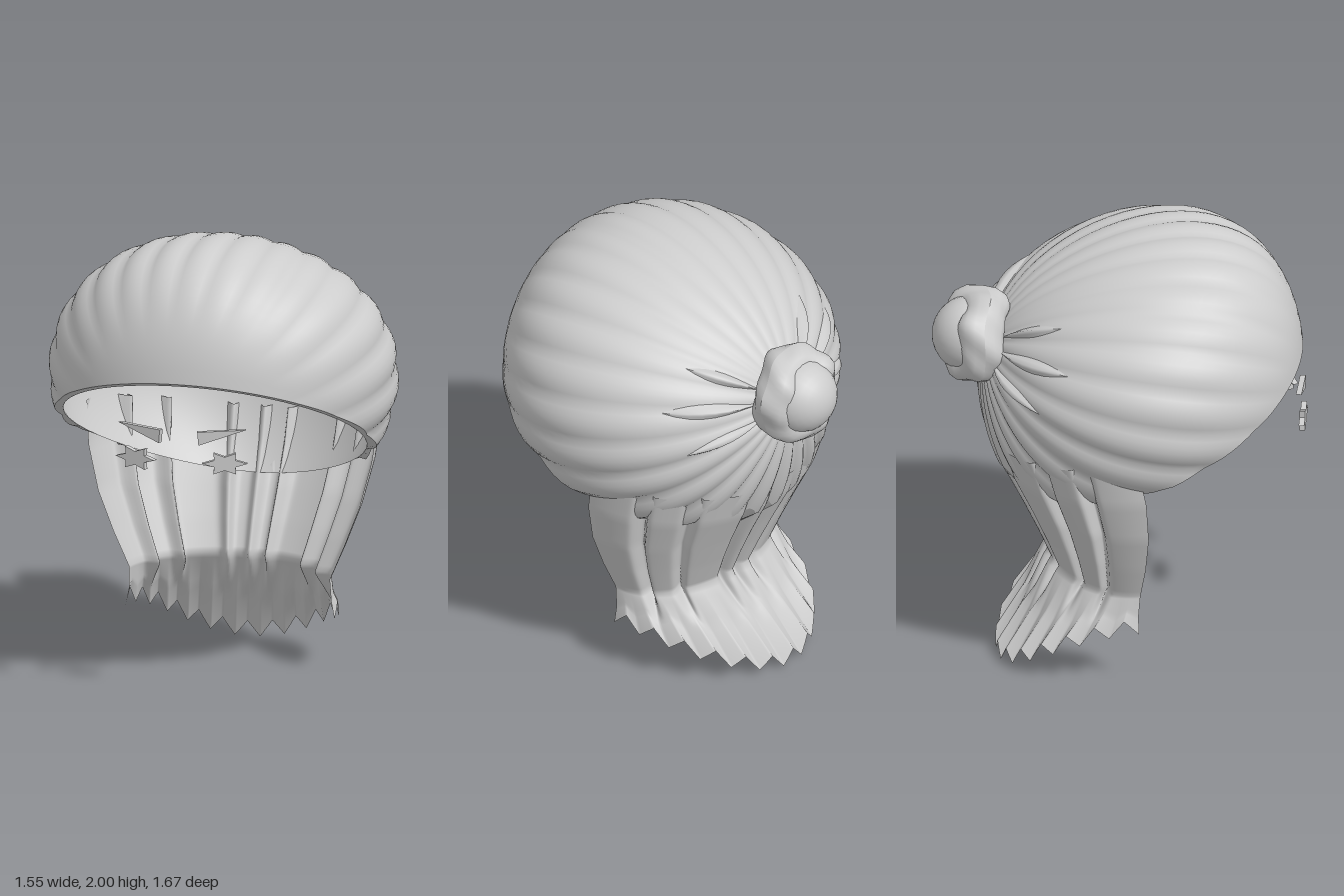
import * as THREE from 'three';

const hairGrey = new THREE.MeshStandardMaterial({ color: 0xcccccc, side: THREE.DoubleSide });
hairGrey.name = 'hairGrey';

const { sin, cos, abs, max, min, PI } = Math;

// Surface from a rule fn(u, v) -> Vector3, u and v in 0..1; closed joins u ends
function grid(nu, nv, fn, closed = false) {
  const pos = [], idx = [], cols = closed ? nu : nu + 1;
  for (let j = 0; j <= nv; j++)
    for (let i = 0; i < cols; i++) pos.push(...fn(i / nu, j / nv).toArray());
  for (let j = 0; j < nv; j++)
    for (let i = 0; i < nu; i++) {
      const k = (i + 1) % cols, a = j * cols + i, b = j * cols + k, c = a + cols, d = b + cols;
      idx.push(a, b, c, b, d, c);
    }
  const g = new THREE.BufferGeometry();
  g.setAttribute('position', new THREE.Float32BufferAttribute(pos, 3));
  g.setIndex(idx);
  g.computeVertexNormals();
  return g;
}

function part(name, geometry, parent) {
  const m = new THREE.Mesh(geometry, hairGrey);
  m.name = name;
  parent.add(m);
  return m;
}

// Linear lookup in a short list of [key, value...] rows
function lookup(rows, t) {
  const f = t * (rows.length - 1), i = min(Math.floor(f), rows.length - 2), k = f - i;
  return rows[i].map((a, n) => a + (rows[i + 1][n] - a) * k);
}

// Zigzag wave for ragged ends, 0..1
const zig = (t) => abs(((t % 1) + 1) % 1 - 0.5) * 2;

// Cap of hair: an egg shape combed from the bun (theta 0) towards the face
const AXIS = new THREE.Vector3(0, 0.2, -0.98).normalize();
const UP = new THREE.Vector3(0, 0.98, 0.2).normalize();
function capPoint(phi, theta, s, ridge) {
  const d = AXIS.clone().multiplyScalar(cos(theta))
    .addScaledVector(UP, sin(theta) * cos(phi));
  d.x = sin(theta) * sin(phi);
  const ry = d.y > 0 ? 0.635 : 0.9;
  const fade = sin(min(theta, PI / 2)) * (theta > 1.7 ? max(0, 1 - (theta - 1.7) / 0.7) : 1);
  // combed ridges, deeper pleats below the bun
  const low = max(0, -cos(phi));
  const wave = (abs(cos(phi * 13)) - 0.5) * (0.025 + 0.03 * low) * fade * ridge;
  const r = s * (1 + wave) / Math.hypot(d.x / 0.77, d.y / ry, d.z / 0.72);
  const p = d.multiplyScalar(r);
  if (p.y < 0) p.x *= 1 - 0.6 * p.y * p.y;
  else p.z += 0.15 * (p.y / 0.635) ** 2;
  return p.add(new THREE.Vector3(0, 1.35, 0.1));
}

// Angle at which a combed line reaches the cut surface
function rimAngle(phi, s, ridge, cut) {
  let t = 0.2;
  const over = (a) => { const p = capPoint(phi, a, s, ridge); return p.y - cut(p, phi); };
  while (t < PI && over(t) > 0) t += 0.04;
  let lo = t - 0.04, hi = t;
  for (let i = 0; i < 14; i++) {
    const m = (lo + hi) / 2;
    if (over(m) > 0) lo = m; else hi = m;
  }
  return lo;
}

const plane = (p) => 1.0 + 0.55 * p.z;
const ragged = (p, phi) => {
  const back = min(1, max(0, (0.1 - p.z) / 0.2));
  return max(plane(p), 0.87) + back * 0.07 * zig(phi * 5.3);
};

function shellRule(s, ridge, cut) {
  const cache = new Map();
  return (u, v) => {
    const phi = u * PI * 2;
    if (!cache.has(u)) cache.set(u, rimAngle(phi, s, ridge, cut));
    return capPoint(phi, cache.get(u) * v, s, ridge);
  };
}

// Rows down the hanging hair: half width, depth, front z, side y, back y
const curtainRows = [
  [0.67, 0.54, -0.04, 1.14, 1.05],
  [0.65, 0.53, 0.0, 0.95, 0.9],
  [0.6, 0.46, 0.02, 0.75, 0.72],
  [0.53, 0.39, 0.02, 0.57, 0.57],
  [0.46, 0.32, 0.01, 0.41, 0.43],
  [0.465, 0.42, 0.0, 0.34, 0.25],
  [0.48, 0.56, 0.0, 0.3, 0.06],
];
const pleats = [-1.1, -0.72, -0.22, 0.02, 0.22, 0.72, 1.1];
function curtain(u, v) {
  const s = (u - 0.5) * PI;
  const [w, d, z0, ySide, yBack] = lookup(curtainRows, v);
  const c = cos(s) ** 2;
  let fold = 0;
  for (const p of pleats) fold += Math.exp(-(((s - p) / 0.045) ** 2));
  fold *= 0.13 * (v < 0.7 ? 1 : max(0, 1 - (v - 0.7) / 0.15));
  const hem = v > 0.7 ? (v - 0.7) / 0.3 : 0;
  const y = ySide + (yBack - ySide) * c - hem * 0.07 * zig(u * 13);
  return new THREE.Vector3(w * (1 - fold) * sin(s) - 0.08 * hem * c, y, z0 - d * (1 - fold) * cos(s));
}

function createModel() {
  const group = new THREE.Group();
  group.name = 'hairAndFace';

  // Cap, its lining and the rim that joins them
  const outer = shellRule(1, 1, ragged), inner = shellRule(0.96, 0, plane);
  part('hairCap', grid(156, 28, outer, true), group);
  part('capLining', grid(78, 20, inner, true), group);
  part('capRim', grid(156, 1, (u, v) => (v ? inner(u, 1) : outer(u, 1)), true), group);

  // Loose locks drawn back to the bun
  for (const side of [-1, 1])
    for (const [phi, end] of [[1.35, 0.85], [1.75, 0.75], [0.95, 0.7]]) {
      const lock = (u, v) => capPoint(side * (phi + (u - 0.5) * 0.16 * sin(v * PI)),
        0.2 + v * (end - 0.2), 1.0 + 0.05 * sin(v * PI) * (1 - abs(u - 0.5) * 2), 1);
      part('looseLock', grid(4, 8, lock), group);
    }

  // Pleated hair hanging behind, ending in a ragged tail
  part('hangingHair', grid(208, 36, curtain), group);

  // Bun: smooth dome inside a lumpy wrapped ring
  const bun = new THREE.Group();
  bun.name = 'bun';
  bun.position.set(0, 1.545, -0.665);
  bun.quaternion.setFromUnitVectors(new THREE.Vector3(0, 1, 0), AXIS);
  group.add(bun);
  part('bunDome', new THREE.SphereGeometry(0.172, 24, 16), bun);
  const wrap = new THREE.TorusGeometry(0.135, 0.083, 14, 48).rotateX(PI / 2);
  const p = wrap.attributes.position;
  for (let i = 0; i < p.count; i++) {
    const a = Math.atan2(p.getZ(i), p.getX(i)), y = p.getY(i);
    const k = 1 + 0.03 * sin(a * 7 + y * 40) + 0.025 * sin(a * 4 - y * 30);
    p.setXYZ(i, p.getX(i) * k, y * 1.25 * k - 0.025 + 0.018 * sin(a * 3), p.getZ(i) * k);
  }
  wrap.computeVertexNormals();
  part('bunWrap', wrap, bun);

  // Brows and star eyes, mirrored and turned to follow the face
  const brow = new THREE.Shape([[-0.115, 0.025], [0.1, 0.035], [-0.11, -0.035]]
    .map(([x, y]) => new THREE.Vector2(x, y)));
  const star = new THREE.Shape();
  for (let i = 0; i < 12; i++) {
    const a = (i * PI) / 6, r = i % 2 ? 0.55 : 1;
    star[i ? 'lineTo' : 'moveTo'](0.1 * r * cos(a), 0.055 * r * sin(a));
  }
  for (const side of [-1, 1]) {
    for (const [name, shape, x, y, z] of [['brow', brow, 0.19, 1.215, 0.77], ['starEye', star, 0.2, 1.1, 0.78]]) {
      const g = new THREE.ExtrudeGeometry(shape, { depth: 0.025, bevelEnabled: false });
      if (side < 0) g.rotateY(PI).translate(0, 0, 0.025);
      const m = part(side > 0 ? name + 'Left' : name + 'Right', g, group);
      m.position.set(side * x, y, z);
      m.rotation.y = side * 0.28;
    }
  }
  return group;
}

export { createModel };
